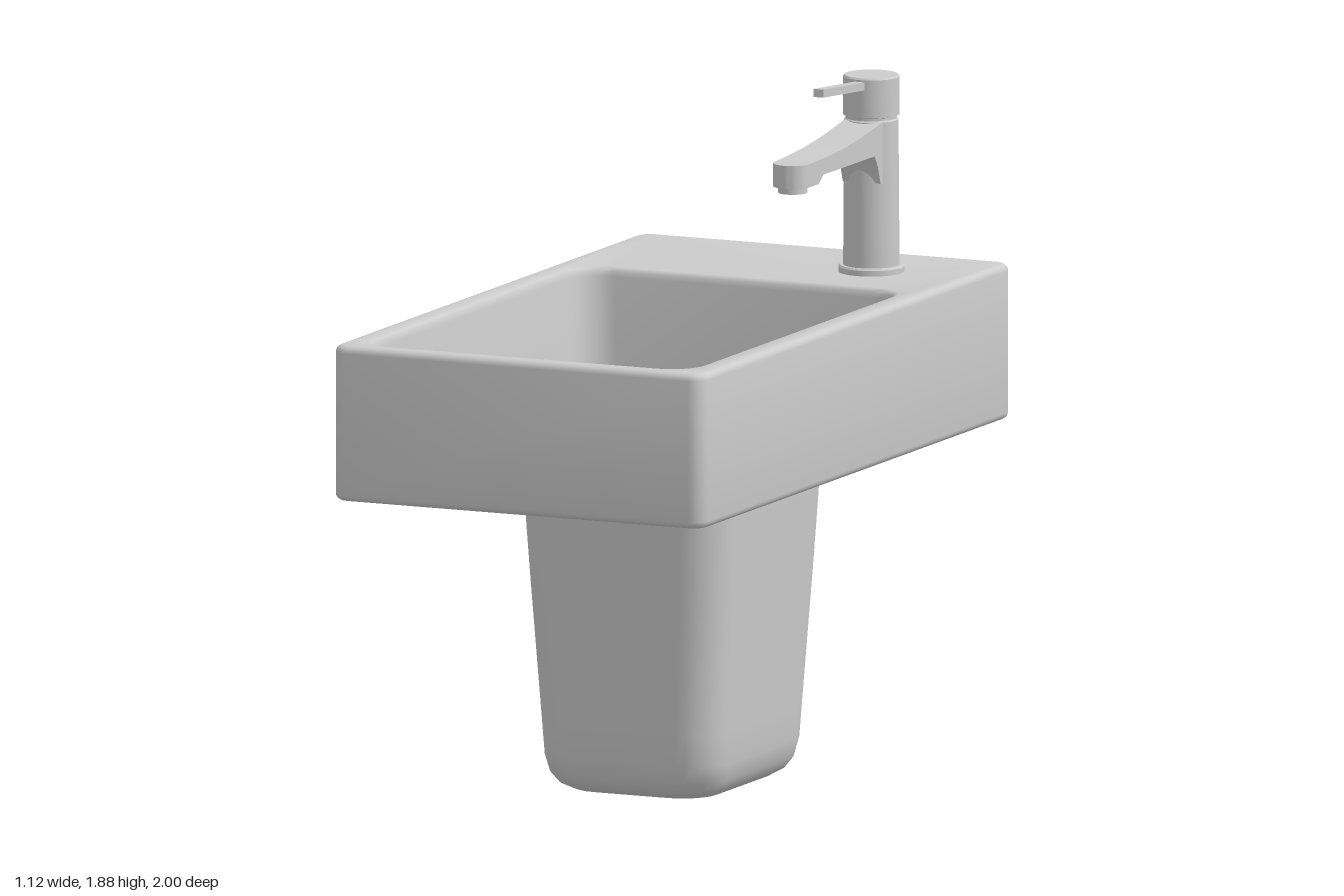
import * as THREE from 'three';
import { toCreasedNormals } from 'three/addons/utils/BufferGeometryUtils.js';

// Skins a list of closed rings; optional fan caps close either end
function loft(rings, capStart, capEnd, crease = 0.6) {
  const pos = [];
  const tri = (...pts) => pts.forEach(p => pos.push(p.x, p.y, p.z));
  const n = rings[0].length;
  const centre = ring => ring.reduce((s, p) => s.add(p), new THREE.Vector3()).divideScalar(n);
  const first = rings[0], last = rings[rings.length - 1];
  const c0 = centre(first), c1 = centre(last);
  for (let j = 0; j < n; j++) {
    const k = (j + 1) % n;
    for (let i = 0; i < rings.length - 1; i++) {
      const a = rings[i], b = rings[i + 1];
      tri(a[j], a[k], b[k]);
      tri(a[j], b[k], b[j]);
    }
    if (capStart) tri(first[k], first[j], c0);
    if (capEnd) tri(last[j], last[k], c1);
  }
  const g = new THREE.BufferGeometry();
  g.setAttribute('position', new THREE.Float32BufferAttribute(pos, 3));
  return toCreasedNormals(g, crease);
}

// Horizontal rounded rectangle, anticlockwise from above
function roundedRing(hx, hz, r, y, cz = 0, steps = 6) {
  const pts = [];
  for (let q = 0; q < 4; q++) {
    const sx = q === 0 || q === 3 ? 1 : -1, sz = q < 2 ? -1 : 1;
    for (let s = 0; s <= steps; s++) {
      const t = (q + s / steps) * Math.PI / 2;
      pts.push(new THREE.Vector3(
        sx * (hx - r) + r * Math.cos(t), y, cz + sz * (hz - r) - r * Math.sin(t)));
    }
  }
  return pts;
}

export function createModel() {
  const ceramic = new THREE.MeshStandardMaterial({ color: 0xcccccc });
  ceramic.name = 'lightGrey';
  const dark = new THREE.MeshStandardMaterial({ color: 0x555555 });
  dark.name = 'darkGrey';

  const model = new THREE.Group();
  model.name = 'washbasin';
  const add = (parent, name, geometry, x = 0, y = 0, z = 0, material = ceramic) => {
    const m = new THREE.Mesh(geometry, material);
    m.name = name;
    m.position.set(x, y, z);
    parent.add(m);
    return m;
  };

  // Basin: outer shell, rim and bowl in one skin
  const basin = [];
  const outer = (inset, y) => basin.push(roundedRing(0.56 - inset, 1 - inset, 0.045 - inset * 0.8, y));
  const edge = 0.02;
  for (let i = 0; i <= 4; i++) {
    const t = i / 4 * Math.PI / 2;
    outer(edge * (1 - Math.sin(t)), 0.9 + edge * (1 - Math.cos(t)));
  }
  for (let i = 0; i <= 4; i++) {
    const t = i / 4 * Math.PI / 2;
    outer(edge * (1 - Math.cos(t)), 1.33 - edge * (1 - Math.sin(t)));
  }
  const bowl = (inset, y) => basin.push(roundedRing(0.5 - inset, 0.71 - inset, 0.1, y, 0.245));
  bowl(0, 1.33);
  bowl(0.006, 1.327);
  bowl(0.011, 1.32);
  bowl(0.014, 1.305);
  bowl(0.032, 1.05);
  for (let i = 1; i <= 6; i++) {
    const t = i / 6 * Math.PI / 2;
    bowl(0.032 + 0.06 * (1 - Math.cos(t)), 1.05 - 0.07 * Math.sin(t));
  }
  bowl(0.12, 0.978);
  add(model, 'basin', loft(basin, true, true));

  // Tapered shroud below, with a small hole in its base: [halfX, halfZ, radius, y]
  const shroud = [
    [0.012, 0.012, 0.011, 0.004], [0.17, 0.22, 0.09, 0.004], [0.21, 0.265, 0.1, 0.012],
    [0.24, 0.295, 0.105, 0.03], [0.26, 0.315, 0.11, 0.06], [0.27, 0.328, 0.11, 0.11],
    [0.275, 0.334, 0.11, 0.2], [0.287, 0.346, 0.11, 0.4], [0.299, 0.358, 0.11, 0.6],
    [0.309, 0.368, 0.11, 0.78], [0.313, 0.369, 0.11, 0.85], [0.315, 0.362, 0.11, 0.905]
  ].map(([hx, hz, r, y]) => roundedRing(hx, hz, r, y));
  add(model, 'shroud', loft(shroud, false, true));

  // Waste cover on the bowl floor
  const cover = [[0.112, 0], [0.112, 0.006], [0.106, 0.009], [0.105, 0.018], [0.1, 0.023], [0, 0.026]]
    .map(([r, y]) => new THREE.Vector2(r, y));
  add(model, 'wasteCover', toCreasedNormals(new THREE.LatheGeometry(cover, 40), 0.6), 0.18, 0.975, 0.18);

  // Overflow in the side wall
  const overflow = new THREE.Group();
  overflow.name = 'overflow';
  overflow.position.set(0.479, 1.25, 0.18);
  overflow.rotation.y = -Math.PI / 2;
  model.add(overflow);
  add(overflow, 'overflowRing', new THREE.TorusGeometry(0.028, 0.006, 8, 24));
  add(overflow, 'overflowOpening', new THREE.CircleGeometry(0.026, 24), 0, 0, 0.003, dark);

  // Tap
  const tap = new THREE.Group();
  tap.name = 'tap';
  tap.position.set(0.272, 0, -0.7);
  model.add(tap);

  const body = [
    [0, 1.325], [0.09, 1.325], [0.09, 1.345], [0.086, 1.35], [0.077, 1.35], [0.074, 1.752],
    [0.07, 1.756], [0.07, 1.763], [0.077, 1.765], [0.077, 1.87], [0.073, 1.875], [0, 1.875]
  ].map(([r, y]) => new THREE.Vector2(r, y));
  add(tap, 'tapBody', toCreasedNormals(new THREE.LatheGeometry(body, 40), 0.6));

  // Spout stations along z: [z, halfWidth, bottom, top]
  const stations = [
    [0, 0.057, 1.58, 1.757], [0.062, 0.057, 1.585, 1.752], [0.08, 0.057, 1.635, 1.748],
    [0.1, 0.057, 1.667, 1.745], [0.2, 0.056, 1.667, 1.73], [0.32, 0.055, 1.667, 1.717],
    [0.42, 0.053, 1.667, 1.712], [0.45, 0.052, 1.645, 1.711]
  ];
  for (let i = 0; i <= 8; i++) {
    const t = i / 8 * Math.PI / 2;
    stations.push([0.508 + 0.052 * Math.sin(t), Math.max(0.052 * Math.cos(t), 0.001), 1.645, 1.709]);
  }
  const spout = stations.map(([z, w, b, t]) =>
    [[w, b], [w, t], [-w, t], [-w, b]].map(([x, y]) => new THREE.Vector3(x, y, z)));
  add(tap, 'spout', loft(spout, true, true));
  add(tap, 'aerator', new THREE.CylinderGeometry(0.04, 0.04, 0.02, 28), 0, 1.637, 0.505);

  // Lever handle
  const lever = add(tap, 'lever', new THREE.BoxGeometry(0.03, 0.022, 0.3), 0, 1.863, 0.19);
  lever.rotation.x = -0.08;

  return model;
}
